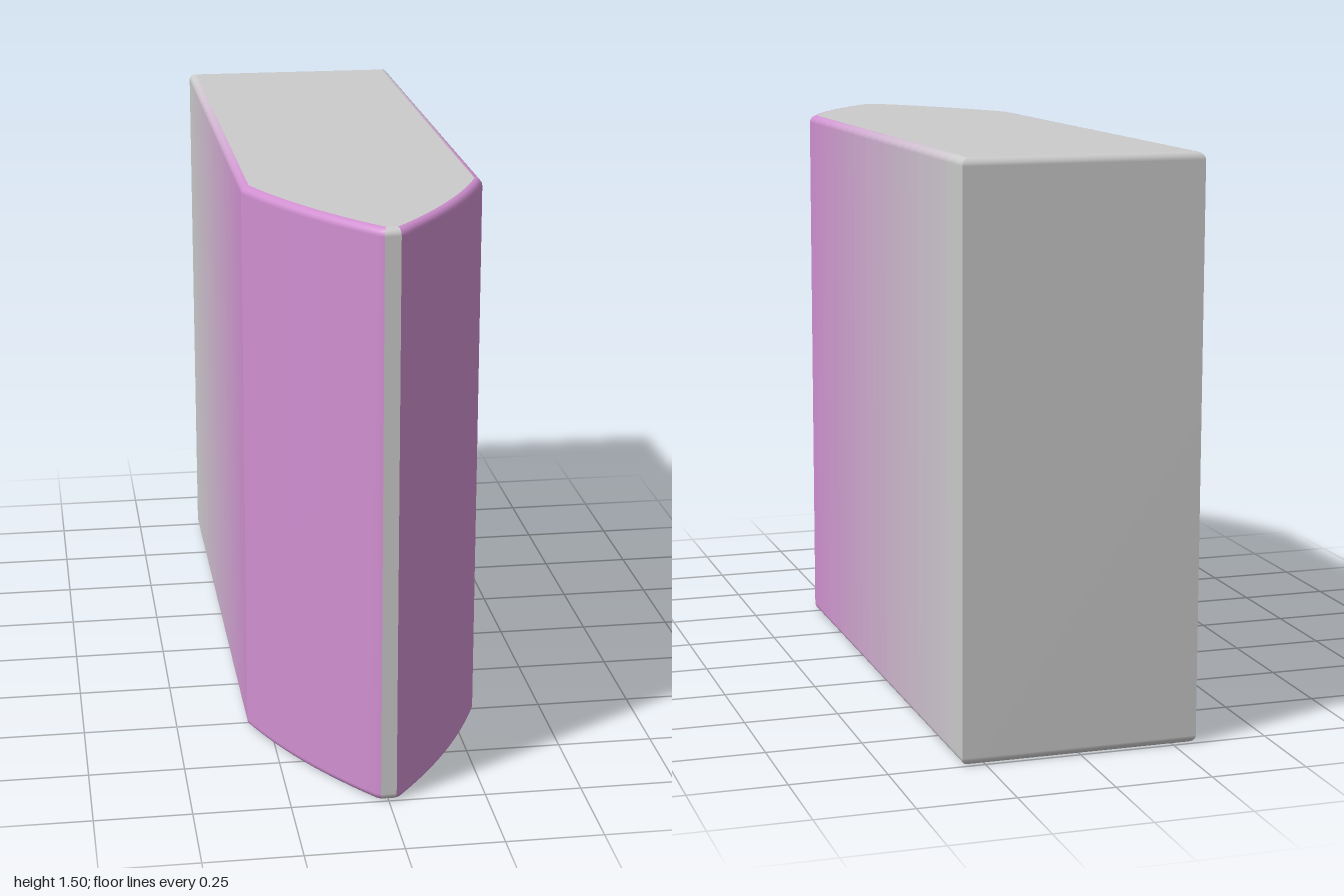
import * as THREE from 'three';

const HEIGHT = 1.5, HALF_WIDTH = 0.31, BEVEL = 0.02;
const SHOULDER_Z = 0.52, STRIPS = 24, NOSE_STEPS = 12;
const GREY = new THREE.Color(0xcccccc);
const PURPLE = new THREE.Color(0xd08fd0);

// Half of the plan outline (x, z): blunt tip, curved nose, straight side to the back
function halfOutline() {
  const nose = new THREE.QuadraticBezierCurve(
    new THREE.Vector2(0.035, 0.99),
    new THREE.Vector2(0.215, 0.77),
    new THREE.Vector2(HALF_WIDTH, SHOULDER_Z)
  );
  const points = [new THREE.Vector2(0.02, 1), ...nose.getPoints(NOSE_STEPS)];
  for (let i = 1; i <= STRIPS; i++) {
    points.push(new THREE.Vector2(HALF_WIDTH, SHOULDER_Z - (1 + SHOULDER_Z) * i / STRIPS));
  }
  return points;
}

// Move a closed outline inward by d with mitred corners
function inset(points, d) {
  const n = points.length;
  const normal = (p, q) => new THREE.Vector2(p.y - q.y, q.x - p.x).normalize();
  return points.map((p, i) => {
    const n1 = normal(points[(i + n - 1) % n], p);
    const n2 = normal(p, points[(i + 1) % n]);
    return p.clone().addScaledVector(n1.clone().add(n2), -d / (1 + n1.dot(n2)));
  });
}

export function createModel() {
  const group = new THREE.Group();
  const half = halfOutline();
  const outline = [...half, ...half.map((p) => new THREE.Vector2(-p.x, p.y)).reverse()];
  const count = outline.length;

  // Stacked outlines: rounded bottom edge, straight wall, rounded top edge
  const lower = [];
  for (let k = 0; k <= 5; k++) {
    const a = (k / 5) * Math.PI / 2;
    lower.push({ y: BEVEL * (1 - Math.cos(a)), d: BEVEL * (1 - Math.sin(a)) });
  }
  const upper = lower.map(({ y, d }) => ({ y: HEIGHT - y, d })).reverse();
  const levels = [...lower, ...upper].map(({ y, d }) => ({ y, ring: inset(outline, d) }));

  // Wall section covering a run of outline edges
  function addWall(name, start, edges, color) {
    const positions = [], index = [], rows = levels.length;
    for (let i = 0; i <= edges; i++) {
      for (const { y, ring } of levels) {
        const p = ring[(start + i) % count];
        positions.push(p.x, y, p.y);
      }
    }
    for (let i = 0; i < edges; i++) {
      for (let j = 0; j < rows - 1; j++) {
        const a = i * rows + j, b = a + rows;
        index.push(a, b, b + 1, a, b + 1, a + 1);
      }
    }
    const geometry = new THREE.BufferGeometry();
    geometry.setAttribute('position', new THREE.Float32BufferAttribute(positions, 3));
    geometry.setIndex(index);
    geometry.computeVertexNormals();
    const mesh = new THREE.Mesh(geometry, new THREE.MeshStandardMaterial({ color }));
    mesh.name = name;
    group.add(mesh);
  }

  // Nose cheeks, tip and back
  const noseEdges = NOSE_STEPS + 1;
  addWall('leftNose', 0, noseEdges, PURPLE);
  addWall('rightNose', count - 1 - noseEdges, noseEdges, PURPLE);
  addWall('noseTip', count - 1, 1, GREY);
  addWall('backWall', half.length - 1, 1, GREY);

  // Side panels fading from purple at the nose to grey at the back
  for (let i = 0; i < STRIPS; i++) {
    const color = PURPLE.clone().lerp(GREY, (i + 0.5) / STRIPS);
    addWall('leftSide' + i, noseEdges + i, 1, color);
    addWall('rightSide' + i, count - 2 - noseEdges - i, 1, color);
  }

  // Flat top and bottom
  const rim = levels[0].ring;
  for (const [name, sign, y] of [['topFace', -1, HEIGHT], ['bottomFace', 1, 0]]) {
    const shape = new THREE.Shape(rim.map((p) => new THREE.Vector2(p.x, sign * p.y)));
    const geometry = new THREE.ShapeGeometry(shape);
    geometry.rotateX(sign * Math.PI / 2).translate(0, y, 0);
    const mesh = new THREE.Mesh(geometry, new THREE.MeshStandardMaterial({ color: GREY }));
    mesh.name = name;
    group.add(mesh);
  }
  return group;
}
